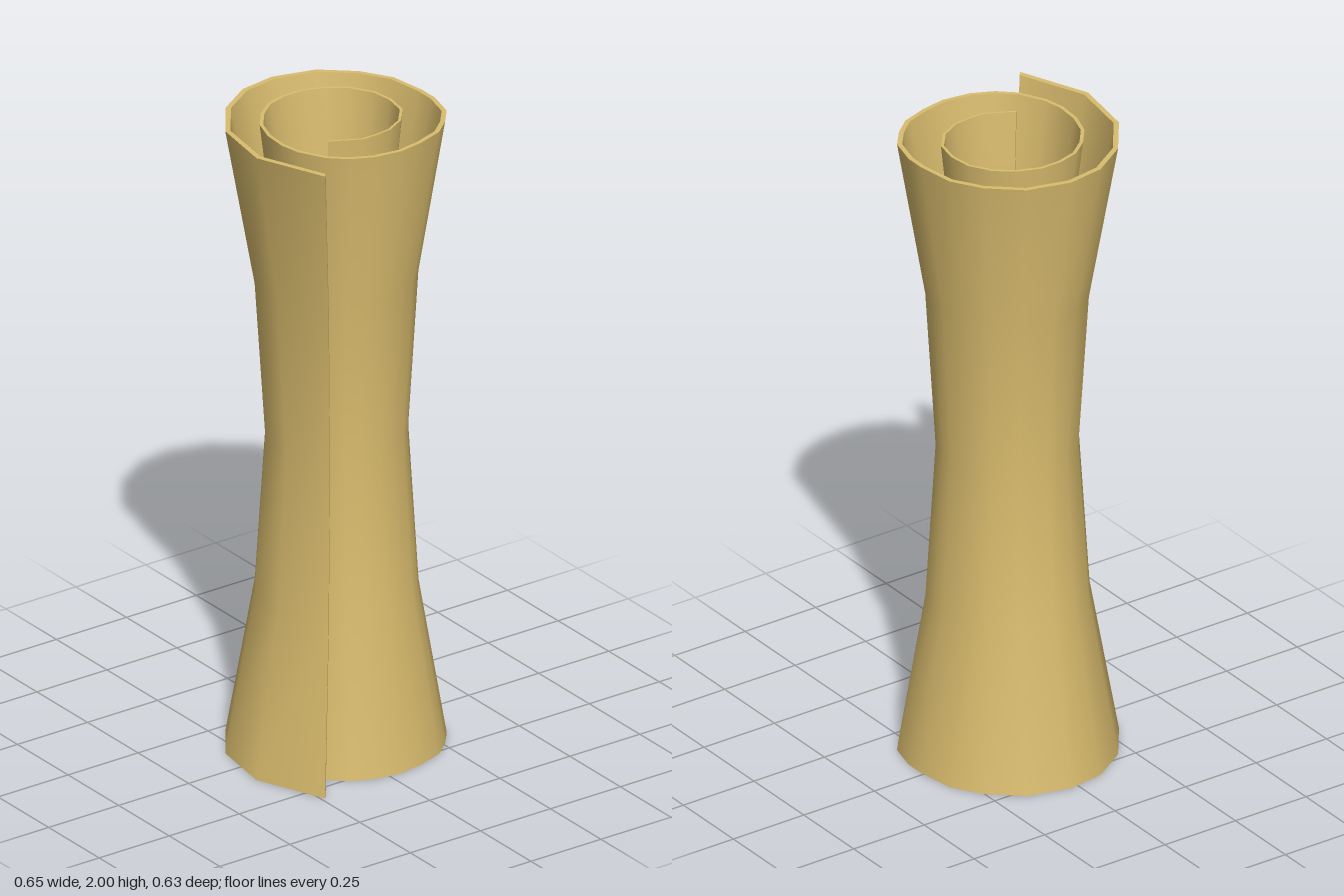
import * as THREE from 'three';

// Outer outline of the rolled sheet at its ends, as x, z pairs from the loose edge inwards
const SPIRAL = [
  -0.239, 0.313, -0.328, 0.098, -0.297, -0.1, -0.204, -0.227, -0.091, -0.299, 0.025, -0.316,
  0.157, -0.28, 0.252, -0.198, 0.309, -0.107, 0.327, 0.009, 0.327, 0.073, 0.304, 0.163,
  0.257, 0.22, 0.202, 0.266, 0.12, 0.293, 0.041, 0.306, -0.045, 0.293, -0.113, 0.261,
  -0.166, 0.213, -0.207, 0.136, -0.22, 0.073, -0.215, -0.004, -0.191, -0.077, -0.143, -0.138,
  -0.088, -0.18, -0.023, -0.198, 0.046, -0.198, 0.114, -0.172, 0.17, -0.129, 0.211, -0.063,
  0.22, 0.007, 0.207, 0.08, 0.159, 0.138, 0.098, 0.17, 0.046, 0.176, -0.005, 0.176, -0.096, 0.129,
];
const CENTRE = [0.02, 0.02];
const INNER = 0.953; // the inner face is the outline drawn in towards the centre
const LEVELS = [[0, 1], [0.5, 0.74], [1, 0.645], [1.5, 0.74], [2, 1]]; // height, waist scale

// One ring of points at a given height and scale
function ring(y, scale) {
  const points = [];
  for (let i = 0; i < SPIRAL.length; i += 2) {
    points.push([
      CENTRE[0] + (SPIRAL[i] - CENTRE[0]) * scale,
      y,
      CENTRE[1] + (SPIRAL[i + 1] - CENTRE[1]) * scale,
    ]);
  }
  return points;
}

// Smooth surface through rows of points
function loft(rows, flip) {
  const n = rows[0].length;
  const index = [];
  for (let r = 0; r < rows.length - 1; r++) {
    for (let i = 0; i < n - 1; i++) {
      const a = r * n + i, b = a + 1, c = a + n, d = c + 1;
      if (flip) index.push(a, c, b, b, c, d);
      else index.push(a, b, c, b, d, c);
    }
  }
  const geometry = new THREE.BufferGeometry();
  geometry.setAttribute('position', new THREE.Float32BufferAttribute(rows.flat(2), 3));
  geometry.setIndex(index);
  geometry.computeVertexNormals();
  return geometry;
}

export function createModel() {
  const group = new THREE.Group();
  group.name = 'rolledScroll';
  const parchment = new THREE.MeshStandardMaterial({ color: 0xd9bc6e });
  parchment.name = 'parchment';

  const add = (name, rows, flip) => {
    const mesh = new THREE.Mesh(loft(rows, flip), parchment);
    mesh.name = name;
    group.add(mesh);
  };

  const outer = LEVELS.map(([y, s]) => ring(y, s));
  const inner = LEVELS.map(([y, s]) => ring(y, s * INNER));
  const top = LEVELS.length - 1;
  const last = outer[0].length - 1;
  const column = (rows, i) => rows.map((row) => row[i]);

  // Faces of the sheet
  add('outerFace', outer, true);
  add('innerFace', inner, false);

  // Thin rims along the top and bottom
  add('topRim', [inner[top], outer[top]], false);
  add('bottomRim', [inner[0], outer[0]], true);

  // Loose outer edge and the edge at the core
  add('looseEdge', [column(outer, 0), column(inner, 0)], true);
  add('coreEdge', [column(outer, last), column(inner, last)], false);

  return group;
}
